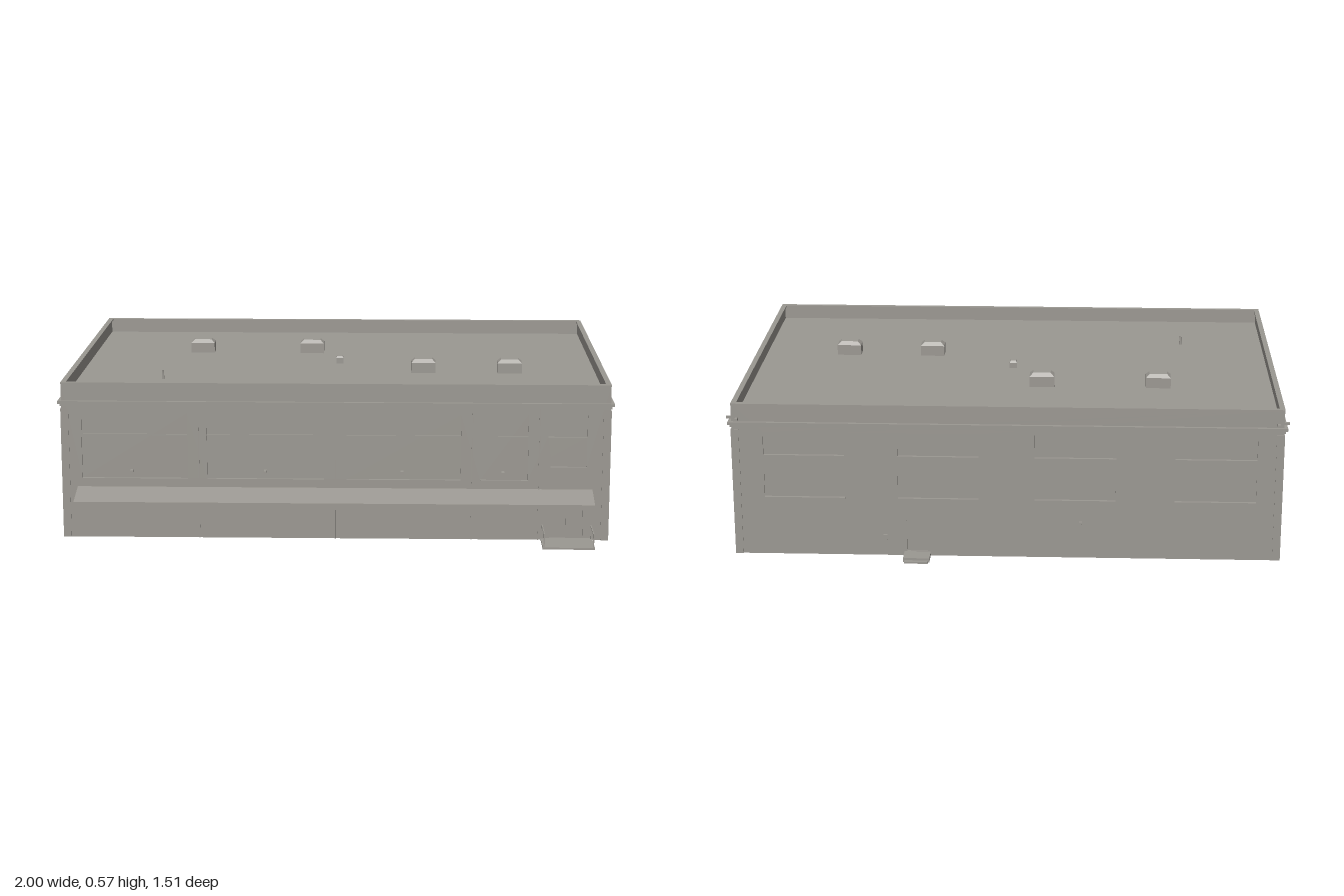
import * as THREE from 'three';

const concrete = new THREE.MeshStandardMaterial({ color: 0x9b9892, side: THREE.DoubleSide });
concrete.name = 'grey concrete';

const X = 0.98, ZF = 0.63, ZB = -0.68, T = 0.012;
const ZC = (ZF + ZB) / 2, DZ = ZF - ZB;

function add(parent, name, geometry) {
  const mesh = new THREE.Mesh(geometry, concrete);
  mesh.name = name;
  parent.add(mesh);
  return mesh;
}

// Box given by its minimum and maximum on each axis
function box(parent, name, x0, x1, y0, y1, z0, z1) {
  const mesh = add(parent, name, new THREE.BoxGeometry(x1 - x0, y1 - y0, z1 - z0));
  mesh.position.set((x0 + x1) / 2, (y0 + y1) / 2, (z0 + z1) / 2);
  return mesh;
}

// Wall in its own plane (u across, y up, outside is +z) with recessed panes and sills
function wall(parent, name, u0, u1, windows, gate) {
  const g = new THREE.Group();
  g.name = name;
  const s = new THREE.Shape();
  s.moveTo(u0, 0);
  if (gate) {
    s.lineTo(gate[0], 0);
    s.lineTo(gate[0], gate[2]);
    s.lineTo(gate[1], gate[2]);
    s.lineTo(gate[1], 0);
  }
  s.lineTo(u1, 0);
  s.lineTo(u1, 0.57);
  s.lineTo(u0, 0.57);
  s.closePath();
  for (const [a, b, y0, y1] of windows) {
    const h = new THREE.Path();
    h.moveTo(a, y0);
    h.lineTo(a, y1);
    h.lineTo(b, y1);
    h.lineTo(b, y0);
    h.closePath();
    s.holes.push(h);
    box(g, 'windowPane', a, b, y0, y1, -T, -T + 0.005);
    box(g, 'windowSill', a, b, y0 - 0.004, y0, -T - 0.003, 0.004);
  }
  const geo = new THREE.ExtrudeGeometry(s, { depth: T, bevelEnabled: false });
  geo.translate(0, 0, -T);
  add(g, 'wallPanel', geo);
  parent.add(g);
  return g;
}

// Four bars forming a rectangular ring around the building
function ring(parent, name, out, inn, y0, y1) {
  for (const s of [-1, 1]) {
    const a = s * (X + out), b = s * (X - inn);
    box(parent, name, Math.min(a, b), Math.max(a, b), y0, y1, ZB - out, ZF + out);
  }
  box(parent, name, -X + inn, X - inn, y0, y1, ZF - inn, ZF + out);
  box(parent, name, -X + inn, X - inn, y0, y1, ZB - out, ZB + inn);
}

// Roof ventilator with a tapered top
function roofVent(parent, x, z, w, d, h) {
  const geo = new THREE.BoxGeometry(w, h, d, 1, 2, 1);
  const p = geo.attributes.position;
  for (let i = 0; i < p.count; i++) {
    if (p.getY(i) > h * 0.4) {
      p.setX(i, p.getX(i) * 0.7);
      p.setZ(i, p.getZ(i) * 0.6);
    } else if (Math.abs(p.getY(i)) < 0.001) p.setY(i, h * 0.25);
  }
  const flat = geo.toNonIndexed();
  flat.computeVertexNormals();
  add(parent, 'roofVent', flat).position.set(x, 0.515 + h / 2, z);
}

export function createModel() {
  const model = new THREE.Group();
  model.name = 'industrialHall';

  // Front wall: tall bay windows and an entrance
  const front = [[-0.91, -0.53], [-0.46, -0.04], [0.04, 0.45], [0.52, 0.69]].map(([a, b]) => [a, b, 0.22, 0.46]);
  front.push([0.76, 0.9, 0.38, 0.46], [0.77, 0.9, 0.27, 0.305], [0.77, 0.89, 0.006, 0.145]);
  const f = wall(model, 'frontWall', -X, X, front);
  f.position.z = ZF;
  for (const [a, b] of front.slice(0, 4)) box(f, 'transomBar', a, b, 0.378, 0.382, -T, -0.001);
  for (const x of [-0.49, 0, 0.49, 0.73]) box(f, 'panelJoint', x - 0.002, x + 0.002, 0, 0.495, 0, 0.002);
  box(f, 'doorPost', 0.828, 0.832, 0.006, 0.145, -T, 0);

  // Back wall: two rows of windows and a service door
  const back = [];
  for (const y of [0.22, 0.38]) {
    for (const [a, b] of [[-0.87, -0.58], [-0.39, -0.1], [0.1, 0.39], [0.6, 0.89]]) back.push([a, b, y, y + 0.085]);
  }
  back.push([-0.36, -0.285, 0.016, 0.135]);
  const bw = wall(model, 'backWall', -X, X, back);
  bw.rotation.y = Math.PI;
  bw.position.z = ZB;

  // Side walls: three rows of windows, the left one with a vehicle gate
  const columns = [[0.3, 0.52], [0, 0.23], [-0.28, -0.05], [-0.57, -0.35]];
  for (const s of [-1, 1]) {
    const wins = [];
    for (const y of [0.06, 0.22, 0.38]) {
      columns.forEach(([a, b], i) => {
        if (s === 1 && y === 0.06 && i < 2) return;
        wins.push(s === 1 ? [-b, -a, y, y + 0.085] : [a, b, y, y + 0.085]);
      });
    }
    const w = s === 1
      ? wall(model, 'leftWall', -ZF + T, -ZB - T, wins, [-0.54, -0.16, 0.17])
      : wall(model, 'rightWall', ZB + T, ZF - T, wins);
    w.rotation.y = s * Math.PI / 2;
    w.position.x = s * X;
  }

  // Roof, cornice and parapet cap
  box(model, 'roof', -X + T, X - T, 0.508, 0.515, ZB + T, ZF - T);
  ring(model, 'cornice', 0.012, 0, 0.494, 0.504);
  ring(model, 'corniceStep', 0.005, 0, 0.484, 0.494);
  ring(model, 'parapetCap', 0.001, 0.018, 0.564, 0.57);

  // Corner strips, rain spouts and side lamps
  for (const s of [-1, 1]) {
    for (const [z0, z1] of [[ZF - 0.03, ZF + 0.003], [ZB - 0.003, ZB + 0.025]]) {
      const a = s * (X + 0.003), b = s * (X - 0.025);
      box(model, 'cornerStrip', Math.min(a, b), Math.max(a, b), 0, 0.475, z0, z1);
    }
    box(model, 'sideSpout', s * 0.985 - 0.015, s * 0.985 + 0.015, 0.511, 0.519, -0.669, -0.659);
    box(model, 'backSpout', s * 0.96 - 0.005, s * 0.96 + 0.005, 0.511, 0.519, -0.7, -0.67);
    box(model, 'sideLamp', s * 0.983 - 0.005, s * 0.983 + 0.005, 0.133, 0.148, 0.533, 0.541);
  }

  // Sloping front canopy with end struts
  const section = new THREE.Shape([[0.63, 0.188], [0.742, 0.16], [0.742, 0.146], [0.736, 0.146], [0.736, 0.157], [0.63, 0.182]]
    .map(([z, y]) => new THREE.Vector2(-z, y)));
  const canopyGeo = new THREE.ExtrudeGeometry(section, { depth: 1.85, bevelEnabled: false });
  canopyGeo.rotateY(Math.PI / 2);
  add(model, 'canopy', canopyGeo).position.x = -0.928;
  for (const x of [-0.92, 0.915]) {
    const strut = add(model, 'canopyStrut', new THREE.BoxGeometry(0.004, 0.004, 0.112));
    strut.position.set(x, 0.14, 0.685);
    strut.rotation.x = -0.25;
  }

  // Wall lamps
  for (const x of [-0.73, -0.25, 0.24, 0.6]) {
    box(model, 'frontLamp', x - 0.005, x + 0.005, 0.246, 0.254, ZF, 0.655);
  }
  box(model, 'backMeter', 0.43, 0.445, 0.06, 0.08, ZB - 0.008, ZB);
  box(model, 'backLamp', -0.27, -0.26, 0.125, 0.14, ZB - 0.01, ZB);

  // Front stoop with railings
  box(model, 'frontStoop', 0.74, 0.925, 0, 0.007, ZF, 0.755);
  for (const x of [0.745, 0.92]) {
    box(model, 'handrail', x - 0.002, x + 0.002, 0.052, 0.056, ZF, 0.75);
    for (const z of [0.64, 0.746]) box(model, 'railPost', x - 0.002, x + 0.002, 0, 0.055, z - 0.002, z + 0.002);
  }

  // Back steps
  box(model, 'backStep', 0.275, 0.37, 0, 0.015, -0.745, ZB);
  box(model, 'lowerBackStep', 0.28, 0.365, 0, 0.007, -0.76, -0.745);

  // Rooftop equipment
  for (const [x, z] of [[-0.547, -0.247], [-0.115, -0.247], [0.32, 0.133], [0.645, 0.133]]) {
    roofVent(model, x, z, 0.092, 0.056, 0.052);
  }
  roofVent(model, 0, -0.03, 0.028, 0.028, 0.028);
  add(model, 'roofPipe', new THREE.CylinderGeometry(0.003, 0.005, 0.035, 8)).position.set(-0.65, 0.532, 0.295);

  return model;
}
